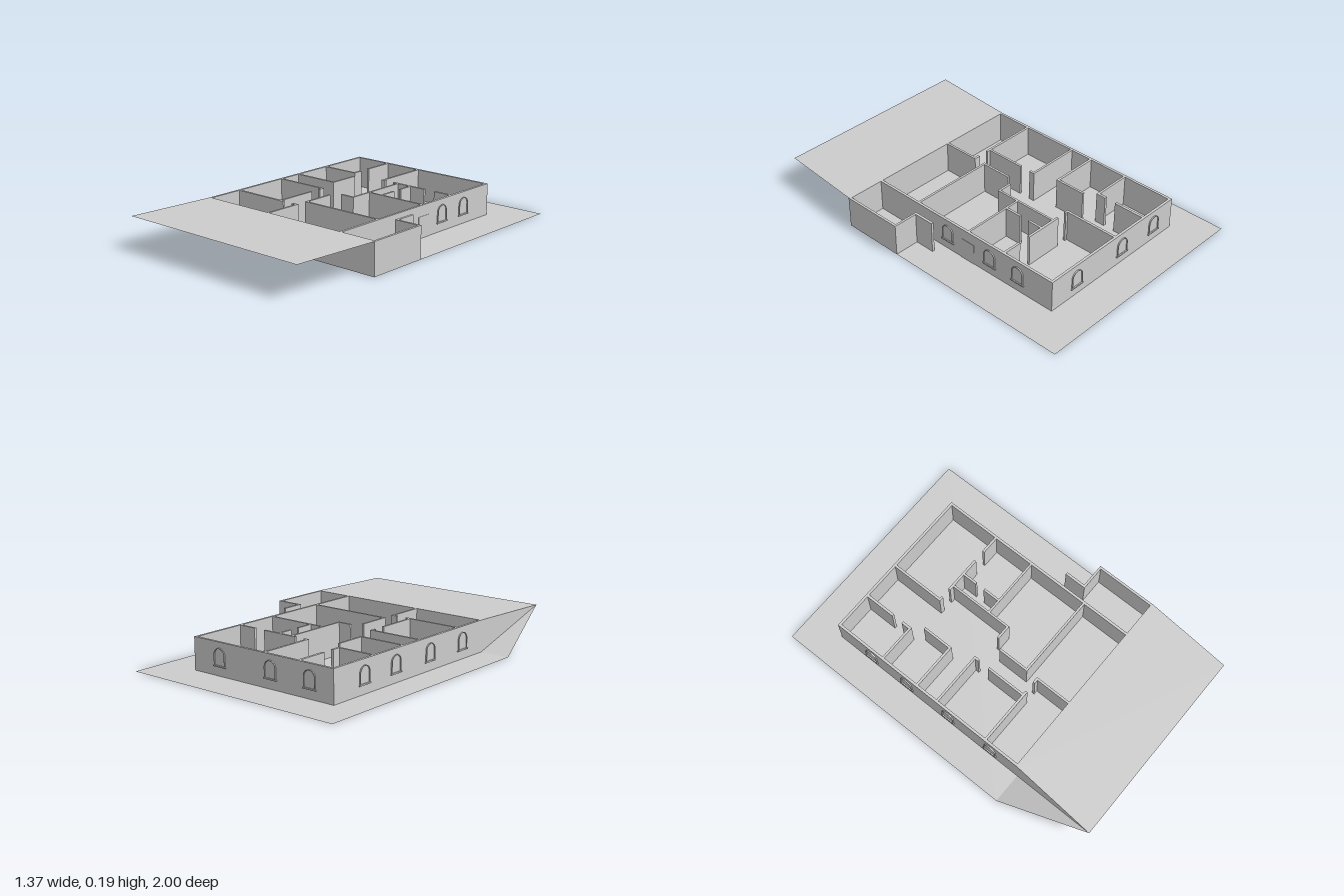
import * as THREE from 'three';

const H = 0.185; // wall height
const material = new THREE.MeshStandardMaterial({ color: 0xcccccc, flatShading: true, side: THREE.DoubleSide });

// Thin surface through a loop of corners, filled as a fan
function sheet(name, corners) {
  const points = [];
  for (let i = 1; i < corners.length - 1; i++) points.push(...corners[0], ...corners[i], ...corners[i + 1]);
  const geometry = new THREE.BufferGeometry();
  geometry.setAttribute('position', new THREE.Float32BufferAttribute(points, 3));
  geometry.computeVertexNormals();
  const mesh = new THREE.Mesh(geometry, material);
  mesh.name = name;
  return mesh;
}

// Full-height wall covering a rectangle of the floor plan
function wall(name, [x1, z1, x2, z2]) {
  const mesh = new THREE.Mesh(new THREE.BoxGeometry(x2 - x1, H, z2 - z1), material);
  mesh.position.set((x1 + x2) / 2, H / 2, (z1 + z2) / 2);
  mesh.name = name;
  return mesh;
}

// Round-headed outline standing on y = 0.058
function archOutline(Type, r, bottom = 0.058, spring = 0.114) {
  const outline = new Type();
  outline.moveTo(-r, bottom);
  outline.lineTo(r, bottom);
  outline.lineTo(r, spring);
  outline.absarc(0, spring, r, 0, Math.PI, false);
  outline.lineTo(-r, bottom);
  return outline;
}

// Blind arched window: pane, raised rim and sill, facing +z
function makeWindow() {
  const group = new THREE.Group();
  group.name = 'archedWindow';
  const add = (name, geometry) => {
    const mesh = new THREE.Mesh(geometry, material);
    mesh.name = name;
    group.add(mesh);
    return mesh;
  };
  const options = { depth: 0.007, bevelEnabled: false, curveSegments: 10 };
  const rim = archOutline(THREE.Shape, 0.039, 0.054);
  rim.holes.push(archOutline(THREE.Path, 0.035));
  add('windowRim', new THREE.ExtrudeGeometry(rim, options));
  add('windowPane', new THREE.ExtrudeGeometry(archOutline(THREE.Shape, 0.036), { ...options, depth: 0.001 }));
  add('windowSill', new THREE.BoxGeometry(0.09, 0.006, 0.008)).position.set(0, 0.053, 0.004);
  return group;
}

export function createModel() {
  const model = new THREE.Group();
  model.name = 'housePlan';

  // Ground, raised front terrace and the two side slopes under its corner
  model.add(
    sheet('ground', [[-0.685, 0, 0.49], [0.685, 0, 0.49], [0.685, 0, -1], [-0.685, 0, -1]]),
    sheet('frontTerrace', [[-0.507, H, 0.49], [-0.545, H, 1], [0.645, H, 1], [0.685, H, 0.49]]),
    sheet('cornerSlope', [[-0.685, 0, 0.49], [-0.545, H, 1], [-0.507, 0, 0.49]]),
    sheet('terraceSide', [[-0.507, 0, 0.49], [-0.545, H, 1], [-0.507, H, 0.49]])
  );

  // Outer walls
  const outer = {
    rightWall: [-0.507, -0.78, -0.492, 0.49],
    leftWall: [0.446, -0.78, 0.461, 0.49],
    backWall: [-0.492, -0.78, 0.446, -0.765],
    frontWall: [-0.492, 0.479, 0.446, 0.49],
    porchFrontWall: [0.461, 0.479, 0.685, 0.49],
    porchSideWall: [0.671, 0.12, 0.685, 0.479],
    porchBackWall: [0.523, 0.12, 0.671, 0.133],
    porchEntryWall: [0.523, 0, 0.538, 0.12]
  };
  for (const [name, plan] of Object.entries(outer)) model.add(wall(name, plan));

  // Partitions as x1, z1, x2, z2, grouped by room
  const partitions = [
    // back right bedroom
    [-0.279, -0.765, -0.264, -0.583], [-0.279, -0.515, -0.264, -0.468], [-0.492, -0.468, -0.264, -0.455],
    // back left bedroom
    [-0.045, -0.765, -0.031, -0.438], [-0.031, -0.45, -0.017, -0.438],
    [0.042, -0.45, 0.267, -0.436], [0.338, -0.45, 0.446, -0.436],
    // bathrooms
    [0.069, -0.436, 0.081, -0.045], [-0.01, -0.058, 0.069, -0.045],
    [0.158, -0.436, 0.171, -0.35], [0.158, -0.293, 0.171, -0.193], [0.081, -0.193, 0.446, -0.181],
    // right alcove
    [-0.226, -0.4, -0.213, -0.225], [-0.492, -0.225, -0.213, -0.211],
    // right middle room
    [-0.492, -0.082, -0.17, -0.069], [-0.183, -0.069, -0.17, -0.048],
    [-0.183, 0.02, -0.17, 0.256], [-0.492, 0.256, -0.15, 0.27],
    // front rooms
    [-0.087, 0.256, -0.05, 0.27], [-0.063, 0.27, -0.05, 0.479],
    [-0.06, 0, -0.047, 0.18], [-0.06, 0.18, 0.446, 0.193]
  ];
  for (const plan of partitions) model.add(wall('partition', plan));

  // Windows along the left, right and back walls
  const placeWindow = (x, z, turn) => {
    const unit = makeWindow();
    unit.position.set(x, 0, z);
    unit.rotation.y = turn;
    model.add(unit);
  };
  for (const z of [-0.545, -0.348, -0.042]) placeWindow(0.461, z, Math.PI / 2);
  for (const z of [-0.545, -0.291, 0.005, 0.3]) placeWindow(-0.507, z, -Math.PI / 2);
  for (const x of [-0.352, -0.088, 0.272]) placeWindow(x, -0.78, Math.PI);

  // Door panel on the left wall
  const door = new THREE.Mesh(new THREE.BoxGeometry(0.004, 0.123, 0.091), material);
  door.name = 'door';
  door.position.set(0.461, 0.0615, -0.19);
  model.add(door);

  return model;
}
